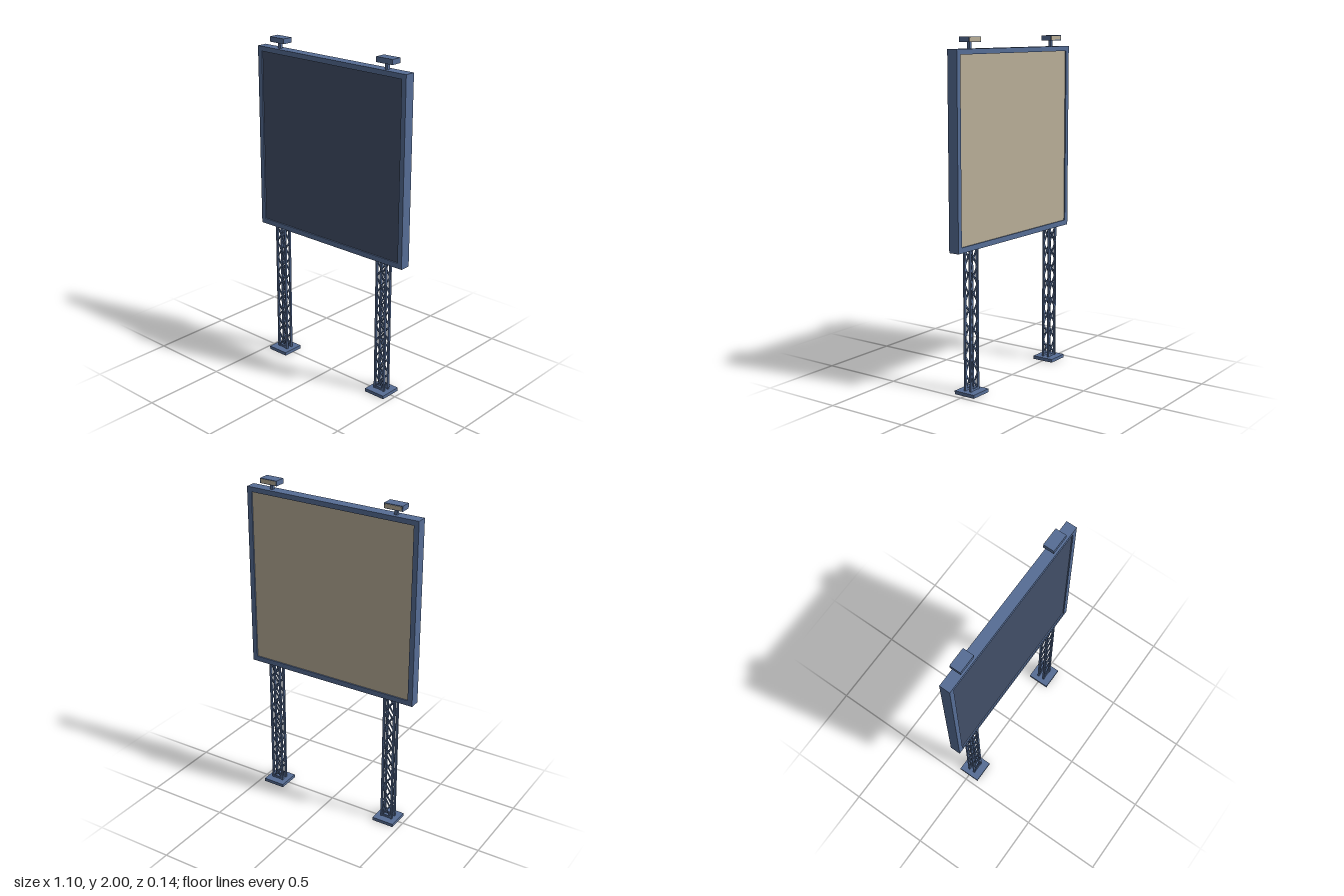
import * as THREE from 'three';

export function createModel() {
  const model = new THREE.Group();
  model.name = 'billboard';
  const mat = (name, color) => {
    const m = new THREE.MeshStandardMaterial({ color });
    m.name = name;
    return m;
  };
  const steel = mat('steel blue', 0x566d95);
  const dark = mat('dark slate', 0x414e67);
  const cream = mat('cream', 0xb8ad97);

  const box = (parent, name, w, h, d, x, y, z, material = steel) => {
    const m = new THREE.Mesh(new THREE.BoxGeometry(w, h, d), material);
    m.position.set(x, y, z);
    m.name = name;
    parent.add(m);
    return m;
  };

  // Square frame around the two display faces
  const outline = new THREE.Shape([[-0.55, 0.835], [0.55, 0.835], [0.55, 1.935], [-0.55, 1.935]]
    .map(p => new THREE.Vector2(...p)));
  outline.holes.push(new THREE.Path([[-0.52, 0.866], [-0.52, 1.906], [0.52, 1.906], [0.52, 0.866]]
    .map(p => new THREE.Vector2(...p))));
  const frame = new THREE.Mesh(
    new THREE.ExtrudeGeometry(outline, { depth: 0.064, bevelEnabled: false }), steel);
  frame.position.z = -0.033;
  frame.name = 'frame';
  model.add(frame);

  // Display faces, slightly recessed
  box(model, 'frontPanel', 1.04, 1.04, 0.024, 0, 1.386, 0.012, dark);
  box(model, 'backPanel', 1.04, 1.04, 0.024, 0, 1.386, -0.014, cream);

  for (const side of [-1, 1]) {
    const name = side > 0 ? 'left' : 'right';

    // Lattice leg on a base plate
    const leg = new THREE.Group();
    leg.name = name + 'Leg';
    leg.position.x = side * 0.398;
    model.add(leg);
    box(leg, 'basePlate', 0.138, 0.02, 0.136, 0, 0.01, 0);

    const bottom = 0.02, top = 0.84, cells = 8, step = (top - bottom) / cells;
    const length = Math.hypot(0.066, step), angle = Math.atan2(0.066, step);
    for (const z of [-0.019, 0.019]) {
      for (const x of [-0.033, 0.033])
        box(leg, 'upright', 0.012, top - bottom, 0.012, x, (top + bottom) / 2, z);
      box(leg, 'footRail', 0.066, 0.012, 0.008, 0, 0.027, z);
      // Crossed braces
      for (let i = 0; i < cells; i++)
        for (const s of [-1, 1])
          box(leg, 'brace', 0.008, length, 0.006, 0, bottom + (i + 0.5) * step, z).rotation.z = s * angle;
    }

    // Lamp on a short stem, lens toward the back
    const lamp = new THREE.Group();
    lamp.name = name + 'Lamp';
    lamp.position.x = side * 0.398;
    model.add(lamp);
    box(lamp, 'stem', 0.018, 0.04, 0.018, 0, 1.953, 0);
    box(lamp, 'housing', 0.112, 0.03, 0.065, 0, 1.985, -0.0045);
    box(lamp, 'lens', 0.1, 0.022, 0.003, 0, 1.985, -0.038, cream);
  }
  return model;
}
